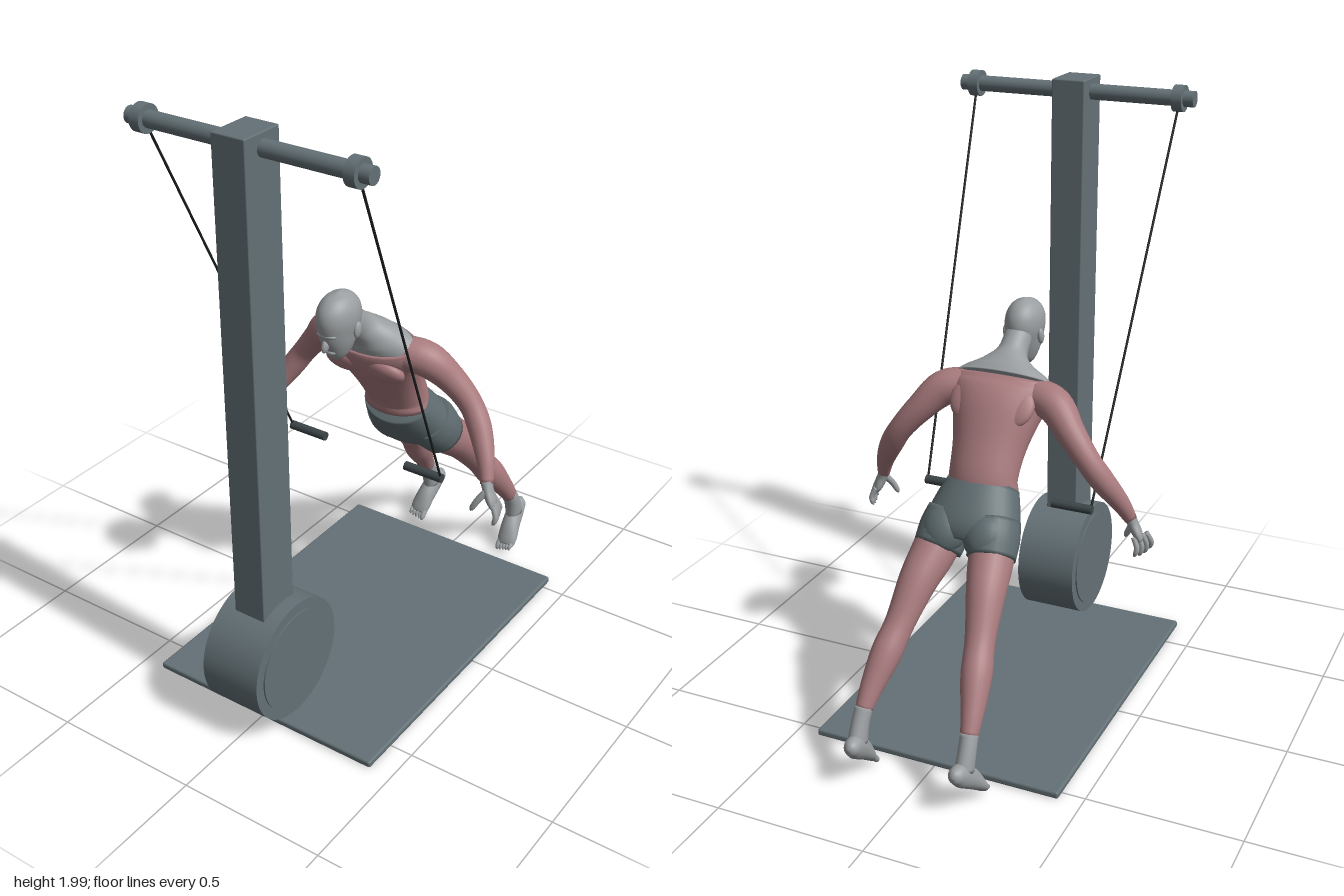
import * as THREE from 'three';
import { RoundedBoxGeometry } from 'three/addons/geometries/RoundedBoxGeometry.js';

const mat = (name, color) => {
  const m = new THREE.MeshStandardMaterial({ color });
  m.name = name;
  return m;
};

export function createModel() {
  const steel = mat('steel grey', 0x647176);
  const shortsCloth = mat('shorts grey', 0x5e6b6f);
  const muscle = mat('muscle pink', 0xa97b7e);
  const pale = mat('pale grey', 0x9a9ea0);
  const grip = mat('grip grey', 0x3c4548);
  const rope = mat('rope black', 0x1b1f20);

  const root = new THREE.Group();
  const machine = new THREE.Group();
  machine.name = 'cableMachine';
  const figure = new THREE.Group();
  figure.name = 'leaningFigure';
  root.add(machine, figure);

  const add = (parent, name, geometry, material, x = 0, y = 0, z = 0) => {
    const m = new THREE.Mesh(geometry, material);
    m.name = name;
    m.position.set(x, y, z);
    parent.add(m);
    return m;
  };

  // Smooth closed body through sections [x, y, z, half width, half depth]
  const loft = (parent, name, material, sections, s = 1, ref = [1, 0, 0], sides = 24) => {
    const spline = (f) => new THREE.CatmullRomCurve3(sections.map(f), false, 'catmullrom', 0.5);
    const path = spline((p) => new THREE.Vector3(p[0] * s, p[1], p[2]));
    const size = spline((p) => new THREE.Vector3(p[3], p[4] ?? p[3], 0));
    const rings = (sections.length - 1) * 5;
    const pos = [], index = [];
    for (let k = -1; k <= rings + 1; k++) {
      const t = Math.min(Math.max(k / rings, 0), 1);
      const c = path.getPoint(t), r = size.getPoint(t), tan = path.getTangent(t);
      if (k < 0 || k > rings) r.set(0, 0, 0);   // closes each end
      const side = new THREE.Vector3(...ref);
      side.addScaledVector(tan, -side.dot(tan)).normalize();
      const dep = tan.clone().cross(side);
      for (let j = 0; j < sides; j++) {
        const a = (j / sides) * Math.PI * 2;
        const p = c.clone().addScaledVector(side, r.x * Math.cos(a)).addScaledVector(dep, r.y * Math.sin(a));
        pos.push(p.x, p.y, p.z);
      }
    }
    for (let i = 0; i < rings + 2; i++) {
      for (let j = 0; j < sides; j++) {
        const n = (j + 1) % sides, a = i * sides, b = a + sides;
        index.push(a + j, a + n, b + j, a + n, b + n, b + j);
      }
    }
    const g = new THREE.BufferGeometry();
    g.setAttribute('position', new THREE.Float32BufferAttribute(pos, 3));
    g.setIndex(index);
    g.computeVertexNormals();
    return add(parent, name, g, material);
  };

  const ball = (parent, name, material, [x, y, z], [rx, ry, rz], tilt = 0) => {
    const m = add(parent, name, new THREE.SphereGeometry(1, 24, 16), material, x, y, z);
    m.scale.set(rx, ry, rz);
    m.rotation.x = tilt;
    return m;
  };

  const rod = (parent, name, material, from, to, r, sides = 32) => {
    const a = new THREE.Vector3(...from), b = new THREE.Vector3(...to);
    const m = add(parent, name, new THREE.CylinderGeometry(r, r, a.distanceTo(b), sides), material);
    m.position.copy(a).add(b).multiplyScalar(0.5);
    m.quaternion.setFromUnitVectors(new THREE.Vector3(0, 1, 0), b.sub(a).normalize());
    return m;
  };

  // Floor mat, tower, drum and top bar
  add(machine, 'floorMat', new RoundedBoxGeometry(0.85, 0.024, 1.165, 3, 0.008), steel, 0, 0.018, 0.042);
  add(machine, 'tower', new RoundedBoxGeometry(0.114, 1.7, 0.15, 2, 0.004), steel, 0, 1.15, 0.585);
  rod(machine, 'drum', steel, [-0.105, 0.255, 0.565], [0.105, 0.255, 0.565], 0.205, 64);
  rod(machine, 'drumFaces', steel, [-0.11, 0.255, 0.565], [0.11, 0.255, 0.565], 0.17, 64);
  rod(machine, 'topBar', steel, [-0.412, 1.955, 0.582], [0.412, 1.955, 0.582], 0.026);

  // Head with nose, brow and lips
  loft(figure, 'head', pale, [
    [0, 1.132, 0.163, 0.012, 0.014], [0, 1.15, 0.168, 0.031, 0.04], [0, 1.185, 0.171, 0.046, 0.06],
    [0, 1.225, 0.172, 0.055, 0.078], [0, 1.27, 0.17, 0.062, 0.089], [0, 1.31, 0.168, 0.057, 0.08],
    [0, 1.341, 0.167, 0.037, 0.051], [0, 1.357, 0.167, 0.004, 0.005]], 1, [1, 0, 0], 32);
  ball(figure, 'nose', pale, [0, 1.2, 0.242], [0.011, 0.024, 0.015], -0.35);
  ball(figure, 'lips', pale, [0, 1.168, 0.217], [0.02, 0.01, 0.012]);
  ball(figure, 'brow', pale, [0, 1.234, 0.234], [0.036, 0.012, 0.019]);

  // Neck and upper shoulders
  loft(figure, 'neckAndShoulders', pale, [
    [0, 1.132, 0.004, 0.172, 0.074], [0, 1.152, 0.02, 0.138, 0.067], [0, 1.174, 0.04, 0.085, 0.057],
    [0, 1.2, 0.07, 0.05, 0.05], [0, 1.25, 0.125, 0.045, 0.046]], 1, [1, 0, 0], 32);

  // Torso
  loft(figure, 'torso', muscle, [
    [0, 0.82, -0.163, 0.119, 0.084], [0, 0.865, -0.155, 0.114, 0.085], [0, 0.95, -0.11, 0.123, 0.091],
    [0, 1.045, -0.053, 0.152, 0.099], [0, 1.1, -0.013, 0.178, 0.091], [0, 1.134, 0.006, 0.17, 0.074]],
  1, [1, 0, 0], 36);

  // Shorts
  loft(figure, 'shorts', shortsCloth, [
    [0, 0.828, -0.158, 0.122, 0.088], [0, 0.775, -0.2, 0.144, 0.098], [0, 0.715, -0.246, 0.16, 0.1],
    [0, 0.675, -0.27, 0.14, 0.08]], 1, [1, 0, 0], 36);

  for (const s of [1, -1]) {
    const side = s > 0 ? 'left' : 'right';

    // Collar, rope and handle
    rod(machine, side + 'Collar', steel, [s * 0.343, 1.955, 0.582], [s * 0.378, 1.955, 0.582], 0.043);
    rod(machine, side + 'Rope', rope, [s * 0.36, 1.93, 0.572], [s * 0.295, 0.715, 0.03], 0.004, 10);
    rod(machine, side + 'Handle', grip, [s * 0.16, 0.715, 0.03], [s * 0.3, 0.715, 0.03], 0.015, 24);

    // Ear, chest and shoulder blade
    ball(figure, side + 'Ear', pale, [s * 0.061, 1.237, 0.157], [0.01, 0.027, 0.016], -0.2);
    ball(figure, side + 'Pectoral', muscle, [s * 0.075, 1.04, 0.03], [0.073, 0.052, 0.032], 0.64);
    ball(figure, side + 'ShoulderBlade', muscle, [s * 0.085, 1.085, -0.088], [0.06, 0.07, 0.025], 0.64);

    // Shorts leg and seat
    loft(figure, side + 'ShortsLeg', shortsCloth, [
      [0.075, 0.745, -0.23, 0.08, 0.085], [0.085, 0.7, -0.265, 0.083, 0.088],
      [0.093, 0.652, -0.304, 0.078, 0.08]], s);
    ball(figure, side + 'Seat', shortsCloth, [s * 0.072, 0.722, -0.29], [0.076, 0.085, 0.062], 0.64);

    // Leg
    loft(figure, side + 'Leg', muscle, [
      [0.09, 0.69, -0.275, 0.072, 0.073], [0.1, 0.64, -0.325, 0.071, 0.072], [0.117, 0.575, -0.395, 0.062, 0.062],
      [0.138, 0.465, -0.482, 0.048, 0.047], [0.155, 0.385, -0.545, 0.049, 0.051],
      [0.172, 0.3, -0.61, 0.037, 0.038], [0.181, 0.235, -0.655, 0.027, 0.029]], s);

    // Ankle, foot and toes
    loft(figure, side + 'Ankle', pale, [
      [0.18, 0.245, -0.65, 0.028, 0.03], [0.183, 0.2, -0.673, 0.028, 0.031], [0.183, 0.14, -0.695, 0.029, 0.04]], s);
    loft(figure, side + 'Foot', pale, [
      [0.176, 0.163, -0.76, 0.008, 0.009], [0.177, 0.155, -0.745, 0.024, 0.026], [0.181, 0.138, -0.713, 0.03, 0.038],
      [0.187, 0.1, -0.667, 0.034, 0.034], [0.193, 0.062, -0.634, 0.037, 0.022],
      [0.194, 0.038, -0.617, 0.033, 0.013]], s);
    for (let i = 0; i < 5; i++) {
      const x = 0.169 + i * 0.0125, r = i ? 0.007 : 0.01, up = i * 0.003;
      loft(figure, side + 'Toe' + (i + 1), pale, [
        [x, 0.05, -0.625, r], [x, 0.028 + up, -0.606, r], [x, 0.017 + up, -0.598, r * 0.35]], s, [1, 0, 0], 10);
    }

    // Arm
    loft(figure, side + 'Arm', muscle, [
      [0.12, 1.1, -0.015, 0.058], [0.195, 1.085, -0.04, 0.058], [0.262, 1.02, -0.075, 0.047],
      [0.325, 0.945, -0.09, 0.04], [0.372, 0.875, -0.075, 0.039], [0.418, 0.795, -0.037, 0.03],
      [0.444, 0.73, -0.006, 0.021]], s, [0, 0, 1]);

    // Hand with fingers and thumb
    loft(figure, side + 'Palm', pale, [
      [0.442, 0.738, -0.008, 0.021, 0.02], [0.452, 0.712, -0.002, 0.026, 0.018],
      [0.466, 0.682, 0, 0.035, 0.017], [0.476, 0.66, 0, 0.032, 0.011]], s, [0.45, 0, 1], 18);
    for (let i = 0; i < 4; i++) {
      const k = i - 1.5, x = 0.476 + k * 0.008, z = k * 0.017;
      const tip = 0.606 + Math.abs(k) * 0.006;
      loft(figure, side + 'Finger' + (i + 1), pale, [
        [x, 0.675, z, 0.009], [x + 0.014, 0.645, z * 1.3, 0.009],
        [x + 0.012, tip + 0.012, z * 1.45, 0.008], [x + 0.006, tip, z * 1.45, 0.003]], s, [0, 0, 1], 10);
    }
    loft(figure, side + 'Thumb', pale, [
      [0.452, 0.71, 0.01, 0.013], [0.432, 0.68, 0.028, 0.011], [0.418, 0.652, 0.036, 0.009],
      [0.413, 0.641, 0.037, 0.003]], s, [0, 0, 1], 10);
  }
  return root;
}
